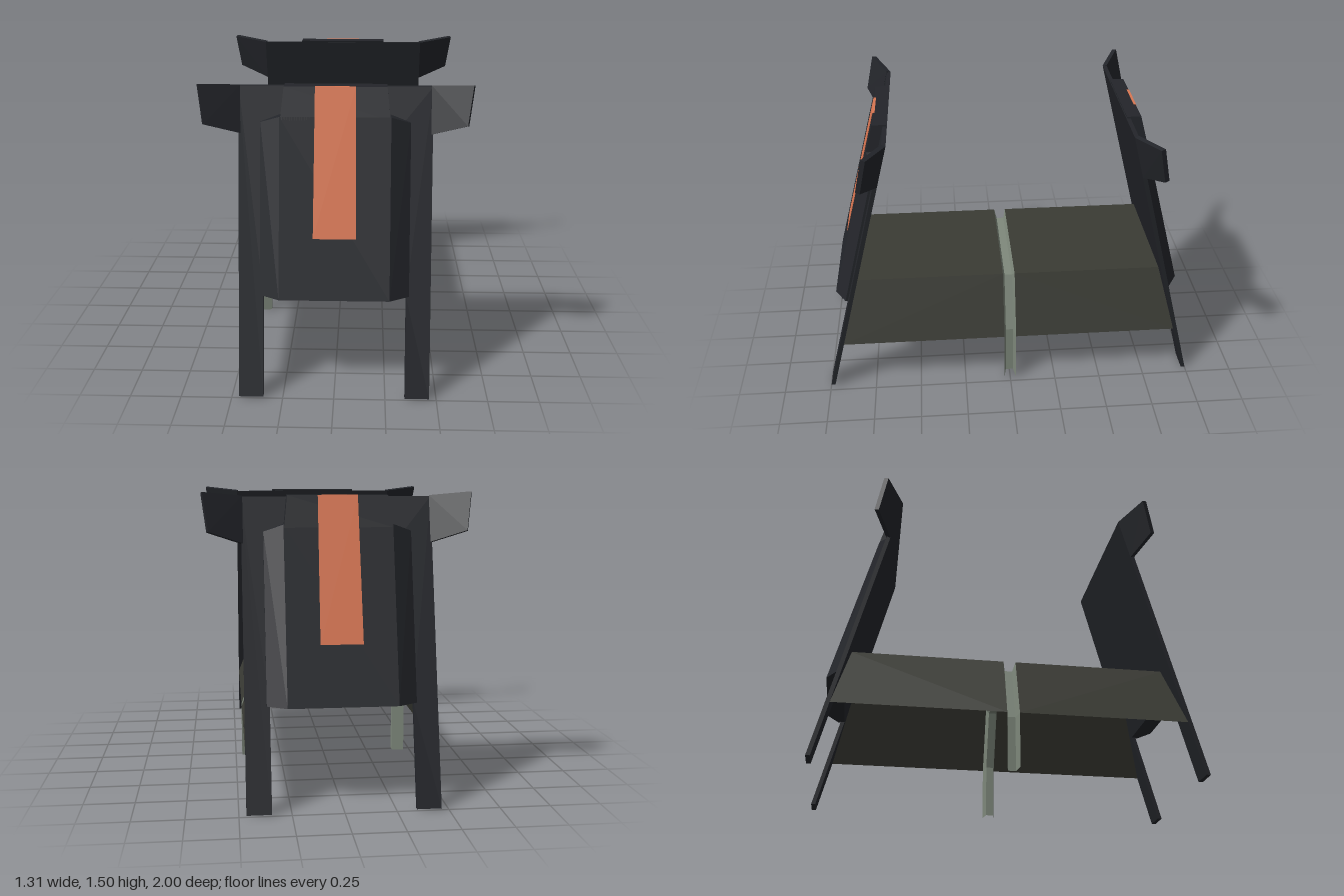
import * as THREE from 'three';
import { ConvexGeometry } from 'three/addons/geometries/ConvexGeometry.js';

const mat = (color, side = THREE.FrontSide) =>
  new THREE.MeshStandardMaterial({ color, side, flatShading: true });
const dark = mat(0x23252a);
const orange = mat(0xd97652);
const olive = mat(0x3a3b34, THREE.DoubleSide);
const steel = mat(0x7f897c, THREE.DoubleSide);

// Leaning planes: depth z at height y
const innerZ = (y) => 0.979 - 0.255 * y;
const outerZ = (y) => innerZ(y) + 0.022;
const armourZ = (y) => 1.077 - 0.268 * y;

function mesh(name, geometry, material) {
  const m = new THREE.Mesh(geometry, material);
  m.name = name;
  return m;
}

const hull = (points) => new ConvexGeometry(points.map((p) => new THREE.Vector3(...p)));

// Left half outline -> closed symmetric shape
const mirrorOutline = (half) =>
  [...half, ...half.map(([x, y]) => [-x, y]).reverse()];

// Skin between two rows of points of equal length
function strip(rowA, rowB) {
  const pos = [];
  for (let i = 0; i < rowA.length - 1; i++) {
    const [a, b, c, d] = [rowA[i], rowA[i + 1], rowB[i + 1], rowB[i]];
    pos.push(...a, ...d, ...b, ...b, ...d, ...c);
  }
  const g = new THREE.BufferGeometry();
  g.setAttribute('position', new THREE.Float32BufferAttribute(pos, 3));
  g.computeVertexNormals();
  return g;
}

// One leaning end wall with legs, ears, armour plate and stripe
function createEnd(name) {
  const end = new THREE.Group();
  end.name = name;

  // Wall and its two legs in one slab, leaned by shearing
  const outline = mirrorOutline([[0.345, 0.5], [0.345, 0.007], [0.465, 0.007], [0.465, 1.475]]);
  const shape = new THREE.Shape(outline.map((p) => new THREE.Vector2(...p)));
  const wall = new THREE.ExtrudeGeometry(shape, { depth: 0.022, bevelEnabled: false });
  const p = wall.attributes.position;
  for (let i = 0; i < p.count; i++) p.setZ(i, p.getZ(i) + innerZ(p.getY(i)));
  wall.computeVertexNormals();
  end.add(mesh('wallWithLegs', wall, dark));

  // Ears swept outward at the top corners
  for (const s of [1, -1]) {
    const corners = [
      [0.465, 1.475, innerZ(1.475)], [0.655, 1.495, 0.69],
      [0.63, 1.31, 0.73], [0.465, 1.25, innerZ(1.25)],
    ];
    const pts = corners.flatMap(([x, y, z]) => [[s * x, y, z], [s * (x - 0.008), y + 0.005, z + 0.022]]);
    end.add(mesh(s > 0 ? 'leftEar' : 'rightEar', hull(pts), dark));
  }

  // Armour plate with chamfered sides
  const plate = [];
  for (const s of [1, -1]) {
    for (const [base, top] of [[0.5, 0.5], [1.31, 1.345]]) {
      plate.push([s * 0.36, base, innerZ(base) + 0.005], [s * 0.36, base, outerZ(base) + 0.012],
        [s * 0.265, top, armourZ(top)], [s * 0.265, top, innerZ(top) + 0.005]);
    }
  }
  end.add(mesh('armourPlate', hull(plate), dark));

  // Narrower tab continuing the plate to the top edge
  const tab = [];
  for (const s of [1, -1]) {
    for (const [x, y] of [[0.262, 1.33], [0.245, 1.483]]) {
      tab.push([s * x, y, innerZ(y) + 0.005], [s * x, y, armourZ(y)]);
    }
  }
  end.add(mesh('armourTab', hull(tab), dark));

  // Coloured stripe
  const stripe = [];
  for (const s of [1, -1]) {
    for (const [x, y] of [[0.103, 0.787], [0.097, 1.484]]) {
      stripe.push([s * x, y, armourZ(y) - 0.01], [s * x, y, armourZ(y) + 0.003]);
    }
  }
  end.add(mesh('stripe', hull(stripe), orange));
  return end;
}

export function createModel() {
  const model = new THREE.Group();
  model.name = 'barricadeShelter';

  const front = createEnd('frontEnd');
  const back = createEnd('backEnd');
  back.rotation.y = Math.PI;
  model.add(front, back);

  // Open sloped covers running from each end to the middle rib
  const cover = mirrorOutline([[0.465, 0.285], [0.342, 0.62]]);
  for (const s of [1, -1]) {
    const near = cover.map(([x, y]) => [x, y, s * 0.032]);
    const far = cover.map(([x, y]) => [x, y, s * (innerZ(y) + 0.005)]);
    model.add(mesh(s > 0 ? 'frontCover' : 'backCover', strip(near, far), olive));
  }

  // Middle rib: a channel with a sunken floor and two flared walls
  const rim = mirrorOutline([[0.465, 0], [0.465, 0.285], [0.342, 0.62]]);
  const floor = mirrorOutline([[0.4, 0], [0.4, 0.285], [0.3, 0.585]]);
  const at = (row, z) => row.map(([x, y]) => [x, y, z]);
  const rib = new THREE.Group();
  rib.name = 'middleRib';
  rib.add(mesh('ribFloor', strip(at(floor, -0.02), at(floor, 0.02)), steel));
  for (const s of [1, -1]) {
    rib.add(mesh('ribWall', strip(at(floor, s * 0.02), at(rim, s * 0.032)), steel));
  }
  model.add(rib);
  return model;
}
